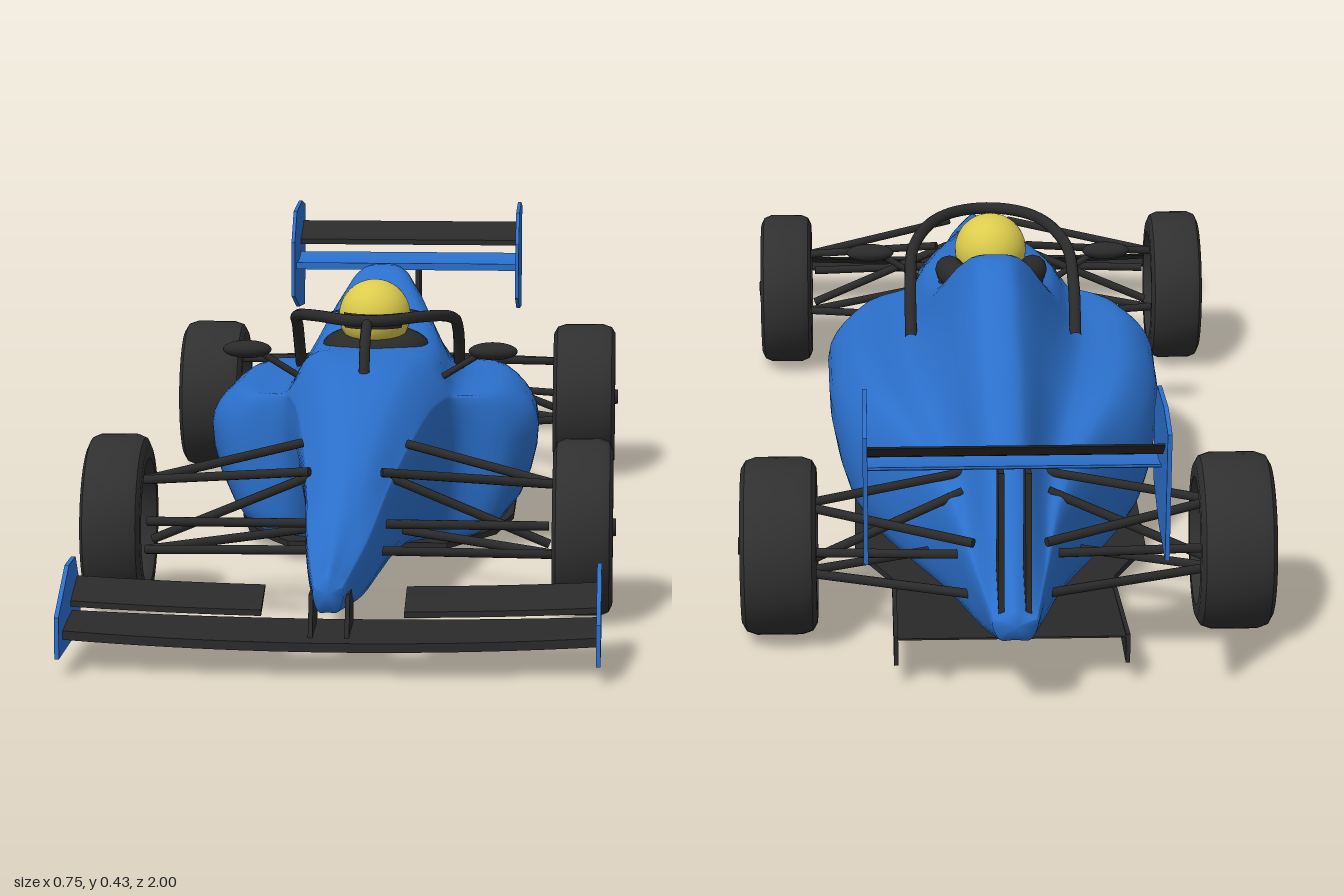
import * as THREE from 'three';
import { toCreasedNormals } from 'three/addons/utils/BufferGeometryUtils.js';

const mat = (name, color) => Object.assign(new THREE.MeshStandardMaterial({ color }), { name });
const V = (x, y, z) => new THREE.Vector3(x, y, z);

export function createModel() {
  const model = new THREE.Group();
  const blue = mat('bodyBlue', 0x2b70cc);
  const carbon = mat('carbonBlack', 0x2a2a2a);
  const rubber = mat('tyreRubber', 0x303030);
  const metal = mat('rimGrey', 0x46474b);
  const yellow = mat('helmetYellow', 0xdccb4c);

  const add = (name, geo, material, parent = model) => {
    const m = new THREE.Mesh(geo, material);
    m.name = name;
    parent.add(m);
    return m;
  };
  // Straight bar between two points
  const rod = (name, a, b, r, parent = model, material = carbon) => {
    const d = b.clone().sub(a);
    const m = add(name, new THREE.CylinderGeometry(r, r, d.length(), 10), material, parent);
    m.position.copy(a).addScaledVector(d, 0.5);
    m.quaternion.setFromUnitVectors(V(0, 1, 0), d.normalize());
    return m;
  };
  // Upright plate from (z, y) corners
  const sidePlate = (name, pts, x, t, material) => {
    const shape = new THREE.Shape(pts.map(p => new THREE.Vector2(...p)));
    const geo = new THREE.ExtrudeGeometry(shape, { depth: t, bevelEnabled: false });
    geo.rotateY(-Math.PI / 2).translate(x + t / 2, 0, 0);
    return add(name, geo, material);
  };
  // Wing blade: box bowed along the span, tilted and cambered along the chord
  const blade = (name, x0, x1, z0, z1, yFront, yRear, t, material, o = {}) => {
    const { bow = 0, lift = 0, camber = 0 } = o;
    const geo = new THREE.BoxGeometry(x1 - x0, t, z1 - z0, 20, 1, 8);
    geo.translate((x0 + x1) / 2, 0, (z0 + z1) / 2);
    const p = geo.attributes.position;
    for (let i = 0; i < p.count; i++) {
      const x = p.getX(i), z = p.getZ(i), s = (z1 - z) / (z1 - z0);
      const thin = 1 - 0.7 * s * s;
      p.setXYZ(i, x,
        p.getY(i) * thin + yFront + (yRear - yFront) * s - camber * 4 * s * (1 - s) + lift * x * x,
        z - bow * x * x * (1 - s));
    }
    return add(name, toCreasedNormals(geo, 0.6), material);
  };

  // Bodywork rows: z, bottom y, bottom w, side w, side y, shoulder w, shoulder y, top w, top y
  const rows = [
    [0.965, 0.085, 0.012, 0.02, 0.105, 0.017, 0.12, 0.01, 0.135],
    [0.80, 0.07, 0.03, 0.042, 0.12, 0.038, 0.15, 0.02, 0.168],
    [0.60, 0.06, 0.04, 0.06, 0.155, 0.055, 0.19, 0.03, 0.222],
    [0.40, 0.05, 0.05, 0.085, 0.18, 0.08, 0.23, 0.045, 0.272],
    [0.24, 0.04, 0.07, 0.11, 0.18, 0.108, 0.25, 0.065, 0.305],
    [0.17, 0.035, 0.10, 0.135, 0.18, 0.125, 0.25, 0.08, 0.31],
    [0.13, 0.035, 0.17, 0.21, 0.18, 0.13, 0.248, 0.09, 0.31],
    [0.05, 0.035, 0.19, 0.248, 0.19, 0.13, 0.25, 0.09, 0.308],
    [-0.05, 0.035, 0.20, 0.25, 0.19, 0.13, 0.25, 0.08, 0.325],
    [-0.17, 0.035, 0.20, 0.245, 0.18, 0.12, 0.25, 0.035, 0.405],
    [-0.30, 0.035, 0.19, 0.22, 0.16, 0.105, 0.24, 0.03, 0.36],
    [-0.42, 0.035, 0.15, 0.165, 0.14, 0.085, 0.22, 0.03, 0.315],
    [-0.60, 0.04, 0.08, 0.095, 0.12, 0.06, 0.19, 0.025, 0.26],
    [-0.80, 0.07, 0.04, 0.052, 0.12, 0.045, 0.155, 0.02, 0.195],
    [-0.945, 0.11, 0.02, 0.03, 0.13, 0.027, 0.14, 0.015, 0.15],
  ];
  const rings = rows.map(([z, yb, wb, wm, ym, ws, ys, wt, yt]) => {
    const half = [[wb, yb], [wm, ym], [wm + (ws - wm) * 0.35, ym + (ys - ym) * 0.9], [ws, ys], [wt, yt - 0.008]];
    return [[0, yb], ...half, [0, yt], ...half.map(([x, y]) => [-x, y]).reverse()].map(([x, y]) => V(x, y, z));
  });
  const rails = rings[0].map((_, c) => new THREE.CatmullRomCurve3(rings.map(r => r[c])));
  const NI = 84, NJ = 56, pos = [], idx = [];
  for (let i = 0; i <= NI; i++) {
    const ring = new THREE.CatmullRomCurve3(rails.map(r => r.getPoint(i / NI)), true);
    for (let j = 0; j < NJ; j++) pos.push(...ring.getPoint(j / NJ).toArray());
  }
  pos.push(0, 0.11, 0.972, 0, 0.13, -0.95);
  const tip = (NI + 1) * NJ;
  for (let j = 0; j < NJ; j++) {
    const k = (j + 1) % NJ;
    for (let i = 0; i < NI; i++) {
      const a = i * NJ + j, b = i * NJ + k;
      idx.push(a, a + NJ, b, b, a + NJ, b + NJ);
    }
    idx.push(tip, j, k, tip + 1, NI * NJ + k, NI * NJ + j);
  }
  const bodyGeo = new THREE.BufferGeometry();
  bodyGeo.setAttribute('position', new THREE.Float32BufferAttribute(pos, 3));
  bodyGeo.setIndex(idx);
  bodyGeo.computeVertexNormals();
  add('body', bodyGeo, blue);

  // Floor and rising diffuser
  const floorHalf = [[0.12, 0.2], [0.19, 0.08], [0.213, -0.05], [0.213, -0.4], [0.16, -0.52], [0.16, -0.58]];
  const floorPts = [...floorHalf, ...floorHalf.map(([x, z]) => [-x, z]).reverse()];
  const floorGeo = new THREE.ExtrudeGeometry(new THREE.Shape(floorPts.map(p => new THREE.Vector2(...p))),
    { depth: 0.009, bevelEnabled: false });
  add('floor', floorGeo.rotateX(Math.PI / 2).translate(0, 0.029, 0), carbon);
  blade('diffuser', -0.16, 0.16, -0.84, -0.57, 0.026, 0.068, 0.008, carbon);

  // Cockpit, headrest and driver
  const pit = add('cockpit', new THREE.SphereGeometry(1, 32, 16), carbon);
  pit.scale.set(0.082, 0.03, 0.085);
  pit.position.set(0, 0.303, 0.01);
  const rest = add('headrest', new THREE.TorusGeometry(0.064, 0.022, 12, 28, Math.PI), carbon);
  rest.rotation.x = -Math.PI / 2;
  rest.position.set(0, 0.33, 0);
  const driver = new THREE.Group();
  driver.name = 'driver';
  driver.position.set(0, 0.352, 0.033);
  driver.scale.z = 1.08;
  model.add(driver);
  add('helmet', new THREE.SphereGeometry(0.055, 32, 24), yellow, driver);
  add('visor', new THREE.SphereGeometry(0.0565, 24, 6, 0.65, Math.PI - 1.3, 1.42, 0.42), carbon, driver);

  // Cockpit guard hoop with centre pillar
  const hoopHalf = [V(0.125, 0.255, -0.105), V(0.125, 0.32, -0.045), V(0.118, 0.352, 0.05),
    V(0.078, 0.366, 0.155), V(0.025, 0.366, 0.205)];
  const hoop = [...hoopHalf, ...hoopHalf.map(p => V(-p.x, p.y, p.z)).reverse()];
  add('guardHoop', new THREE.TubeGeometry(new THREE.CatmullRomCurve3(hoop), 70, 0.009, 10), carbon);
  add('guardPillar', new THREE.TubeGeometry(new THREE.CatmullRomCurve3(
    [V(0, 0.365, 0.208), V(0, 0.345, 0.25), V(0, 0.285, 0.282)]), 14, 0.008, 10), carbon);

  // Wheel: tyre, rim ring, spokes, back disc and hub, outer face toward +x
  const wheel = (name, x, z, width) => {
    const g = new THREE.Group();
    g.name = name;
    const h = width / 2, R = 0.124;
    const section = [[0.084, -h * 0.8], [0.09, -h], [0.108, -h], [0.119, -h * 0.88], [R, -h * 0.6], [R, h * 0.6],
      [0.119, h * 0.88], [0.108, h], [0.09, h], [0.084, h * 0.8], [0.084, -h * 0.8]];
    const turn = geo => geo.rotateZ(-Math.PI / 2);
    add('tyre', toCreasedNormals(turn(new THREE.LatheGeometry(
      section.map(p => new THREE.Vector2(...p)), 48)), 0.7), rubber, g);
    const ring = add('rimRing', new THREE.TorusGeometry(0.081, 0.006, 8, 40).rotateY(Math.PI / 2), metal, g);
    ring.position.x = h * 0.8;
    const disc = add('rimDisc', turn(new THREE.CylinderGeometry(0.085, 0.085, 0.012, 40)), metal, g);
    disc.position.x = h * 0.1;
    for (let i = 0; i < 10; i++) {
      const a = i / 10 * Math.PI * 2;
      rod('spoke', V(h * 0.85, 0.012 * Math.cos(a), 0.012 * Math.sin(a)),
        V(h * 0.78, 0.081 * Math.cos(a + 0.12), 0.081 * Math.sin(a + 0.12)), 0.005, g);
    }
    const hub = add('hub', turn(new THREE.CylinderGeometry(0.012, 0.018, h * 0.7, 20)), carbon, g);
    hub.position.x = h * 0.75;
    g.position.set(x, 0.125, z);
    if (x < 0) g.rotation.y = Math.PI;
    model.add(g);
  };

  for (const s of [1, -1]) {
    const side = s > 0 ? 'left' : 'right';
    wheel(side + 'FrontWheel', s * 0.327, 0.56, 0.084);
    wheel(side + 'RearWheel', s * 0.317, -0.632, 0.105);

    // Suspension arms
    const arms = [
      [0.29, 0.185, 0.56, 0.05, 0.215, 0.65], [0.29, 0.185, 0.56, 0.075, 0.225, 0.47],
      [0.29, 0.085, 0.56, 0.045, 0.105, 0.65], [0.29, 0.085, 0.56, 0.07, 0.10, 0.47],
      [0.28, 0.10, 0.56, 0.055, 0.195, 0.57], [0.28, 0.137, 0.62, 0.045, 0.14, 0.635],
      [0.29, 0.185, -0.632, 0.06, 0.20, -0.55], [0.29, 0.185, -0.632, 0.05, 0.175, -0.76],
      [0.29, 0.085, -0.632, 0.09, 0.085, -0.55], [0.29, 0.085, -0.632, 0.05, 0.10, -0.76],
      [0.28, 0.10, -0.632, 0.06, 0.19, -0.60], [0.29, 0.125, -0.66, 0.05, 0.135, -0.70],
    ];
    for (const [a, b, c, d, e, f] of arms) rod(side + 'SuspensionArm', V(s * a, b, c), V(s * d, e, f), 0.0065);

    // Mirror on a short stalk
    const mirror = add(side + 'Mirror', new THREE.SphereGeometry(1, 24, 14), carbon);
    mirror.scale.set(0.037, 0.0135, 0.018);
    mirror.position.set(s * 0.186, 0.313, 0.145);
    rod(side + 'MirrorStalk', V(s * 0.105, 0.27, 0.14), V(s * 0.165, 0.308, 0.145), 0.005);

    // Wing end plates, flaps and pylons
    sidePlate(side + 'FrontEndPlate', [[1, 0.025], [1, 0.08], [0.9, 0.13], [0.84, 0.13], [0.8, 0.08], [0.8, 0.025]],
      s * 0.352, 0.006, blue);
    const [x0, x1] = s > 0 ? [0.095, 0.35] : [-0.35, -0.095];
    blade(side + 'FrontFlap', x0, x1, 0.825, 0.89, 0.066, 0.09, 0.008, carbon, { lift: 0.08 });
    sidePlate(side + 'NosePylon', [[0.965, 0.045], [0.945, 0.105], [0.87, 0.105], [0.885, 0.045]],
      s * 0.024, 0.006, carbon);
    sidePlate(side + 'RearEndPlate', [[-0.775, 0.275], [-0.775, 0.37], [-0.82, 0.42], [-0.93, 0.428], [-1, 0.415],
      [-0.985, 0.235], [-0.87, 0.245]], s * 0.196, 0.006, blue);
    sidePlate(side + 'RearPylon', [[-0.845, 0.15], [-0.855, 0.325], [-0.92, 0.335], [-0.935, 0.14]],
      s * 0.018, 0.008, carbon);
    sidePlate(side + 'DiffuserFence', [[-0.56, 0.022], [-0.56, 0.03], [-0.84, 0.072], [-0.84, 0.03]],
      s * 0.157, 0.006, carbon);
  }

  // Wing planes
  blade('frontWing', -0.35, 0.35, 0.875, 0.985, 0.042, 0.055, 0.012, carbon, { bow: 0.17, lift: 0.06 });
  blade('rearWing', -0.194, 0.194, -0.905, -0.81, 0.325, 0.338, 0.012, blue, { camber: 0.006 });
  blade('rearFlap', -0.194, 0.194, -0.962, -0.9, 0.358, 0.388, 0.009, carbon, { camber: 0.004 });

  return model;
}
